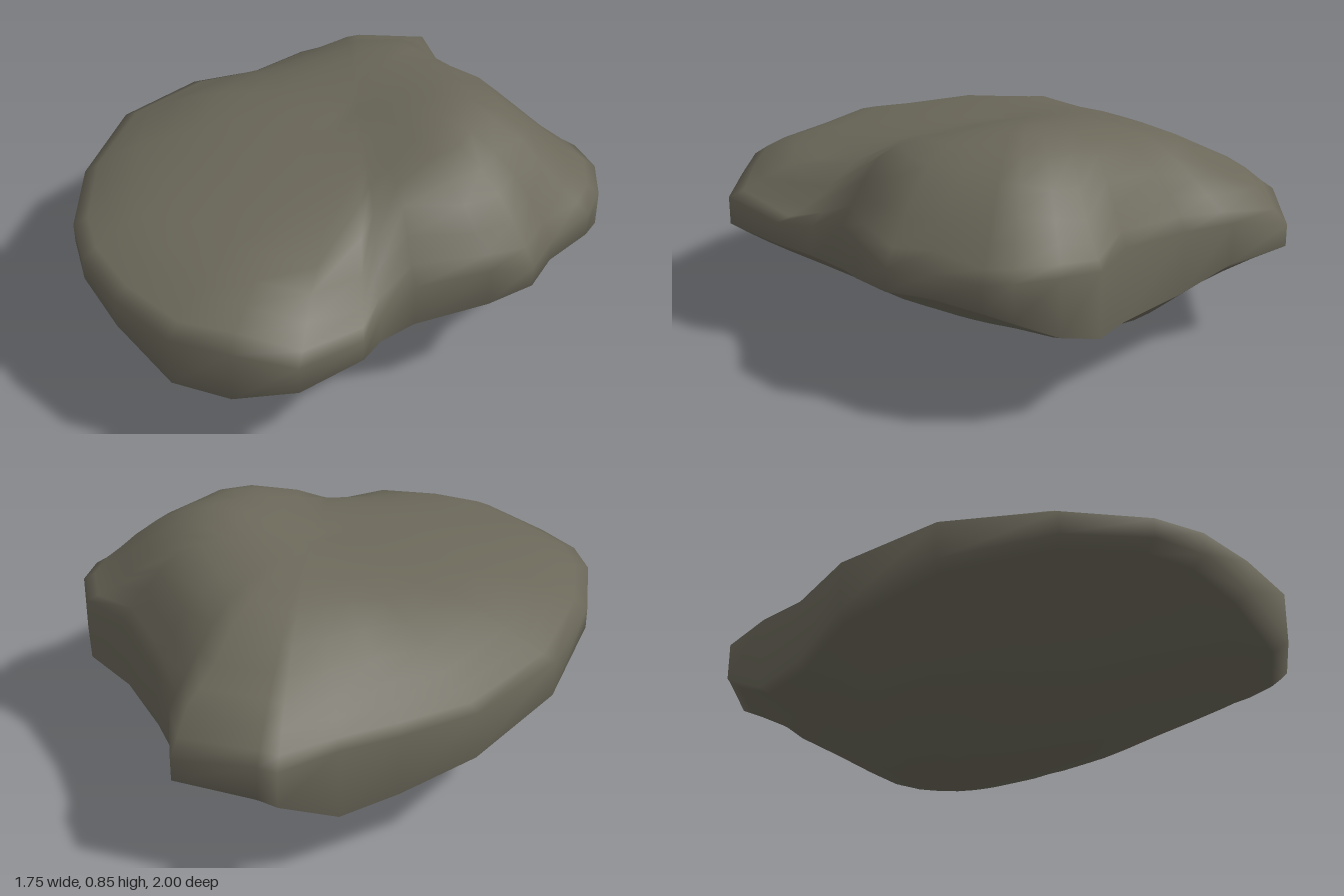
import * as THREE from 'three';

// Plan outline, clockwise from the back: x, z, lower rim height, upper rim height
const RIM = [
  [-0.02, -1.0, 0.36, 0.44], [0.11, -0.82, 0.33, 0.48], [0.27, -0.67, 0.28, 0.5],
  [0.52, -0.5, 0.27, 0.53], [0.72, -0.45, 0.3, 0.53], [0.82, -0.34, 0.34, 0.54],
  [0.87, -0.2, 0.4, 0.53], [0.86, -0.1, 0.42, 0.51], [0.78, 0.08, 0.42, 0.5],
  [0.76, 0.23, 0.42, 0.5], [0.65, 0.36, 0.41, 0.55], [0.43, 0.47, 0.34, 0.5],
  [0.36, 0.6, 0.35, 0.46], [0.35, 0.73, 0.38, 0.46], [0.22, 0.95, 0.39, 0.49],
  [0, 0.98, 0.31, 0.5], [-0.2, 1.0, 0.33, 0.51], [-0.44, 0.9, 0.41, 0.52],
  [-0.62, 0.78, 0.46, 0.54], [-0.73, 0.64, 0.48, 0.55], [-0.84, 0.36, 0.47, 0.55],
  [-0.88, -0.02, 0.41, 0.54], [-0.77, -0.37, 0.33, 0.5], [-0.6, -0.57, 0.25, 0.47],
  [-0.48, -0.75, 0.23, 0.48], [-0.36, -0.92, 0.33, 0.46], [-0.3, -0.94, 0.35, 0.47],
];

// Humps and hollows of the upper face: x, z, height
const TOP = [
  [0, 0, 0.77], [0.37, -0.13, 0.855], [0.22, -0.15, 0.835], [0.57, -0.15, 0.79], [0.7, -0.22, 0.68],
  [0.7, 0.14, 0.64], [0.54, 0.2, 0.76], [0.38, 0.34, 0.75], [0.2, 0.2, 0.76], [0.4, -0.38, 0.78],
  [0.25, 0.52, 0.64], [0.18, 0.76, 0.61], [-0.1, 0.91, 0.6], [-0.1, 0.55, 0.68],
  [-0.5, 0.68, 0.62], [-0.76, 0.25, 0.63], [-0.45, 0.2, 0.7], [-0.58, -0.1, 0.69],
  [-0.3, -0.35, 0.72], [-0.53, -0.45, 0.56], [-0.28, -0.8, 0.58],
  [0, -0.6, 0.74], [0, -0.88, 0.59], [0.22, -0.55, 0.69],
];

// Keel and flanks of the underside: x, z, height
const UNDER = [
  [0, -0.07, 0.005], [0, -0.38, 0.015], [-0.13, -0.2, 0.01], [0.1, -0.2, 0.02],
  [-0.24, -0.2, 0.05], [-0.53, -0.2, 0.125], [-0.4, -0.5, 0.15], [-0.25, -0.66, 0.12],
  [0.25, -0.5, 0.14], [0.4, -0.1, 0.16], [0.62, -0.33, 0.24], [0.3, 0.35, 0.2],
  [0, 0.33, 0.075], [0, 0.66, 0.17], [-0.02, 0.9, 0.24], [-0.5, 0.3, 0.24], [-0.3, 0.65, 0.25],
];

// Taut height field through a set of points: a distance-weighted sum, solved by elimination
function heightField(points) {
  const n = points.length;
  const rows = points.map(([x, z, y]) => [...points.map(([u, v]) => Math.hypot(x - u, z - v)), y]);
  for (let i = 0; i < n; i++) {
    let best = i;
    for (let r = i + 1; r < n; r++) if (Math.abs(rows[r][i]) > Math.abs(rows[best][i])) best = r;
    [rows[i], rows[best]] = [rows[best], rows[i]];
    for (let r = 0; r < n; r++) {
      if (r === i) continue;
      const f = rows[r][i] / rows[i][i];
      for (let c = i; c <= n; c++) rows[r][c] -= f * rows[i][c];
    }
  }
  const weights = rows.map((row, i) => row[n] / row[i]);
  return (x, z) => points.reduce((sum, [u, v], i) => sum + weights[i] * Math.hypot(x - u, z - v), 0);
}

function rockGeometry() {
  const under = heightField([...UNDER, ...RIM.map(([x, z, low]) => [x, z, low])]);
  const over = heightField([...TOP, ...RIM.map(([x, z, , high]) => [x, z, high])]);
  const centre = [0, -0.1];
  const scales = [0.1, 0.2, 0.32, 0.45, 0.58, 0.7, 0.8, 0.88, 0.95, 1];
  const n = RIM.length, points = [], faces = [];

  // Rings from the keel out to the rim, then back in to the crown
  const addRing = (s, height) => {
    for (const [rx, rz] of RIM) {
      const x = centre[0] + (rx - centre[0]) * s, z = centre[1] + (rz - centre[1]) * s;
      points.push(x, height(x, z), z);
    }
  };
  for (const s of scales) addRing(s, under);
  for (const s of [...scales].reverse()) addRing(s, over);

  // Skin between the rings
  const rings = scales.length * 2;
  for (let i = 0; i < rings - 1; i++) {
    for (let j = 0; j < n; j++) {
      const a = i * n + j, b = i * n + (j + 1) % n, c = a + n, d = b + n;
      faces.push(a, c, b, b, c, d);
    }
  }

  // Close the underside and the crown
  const low = rings * n, high = low + 1, last = (rings - 1) * n;
  points.push(centre[0], under(...centre), centre[1], centre[0], over(...centre), centre[1]);
  for (let j = 0; j < n; j++) {
    const k = (j + 1) % n;
    faces.push(low, j, k, high, last + k, last + j);
  }

  const geometry = new THREE.BufferGeometry();
  geometry.setAttribute('position', new THREE.Float32BufferAttribute(points, 3));
  geometry.setIndex(faces);
  geometry.computeVertexNormals();
  return geometry;
}

export function createModel() {
  const stone = new THREE.MeshStandardMaterial({ color: 0x6b685a });
  stone.name = 'stone';
  const rock = new THREE.Mesh(rockGeometry(), stone);
  rock.name = 'rock';
  const model = new THREE.Group();
  model.name = 'boulder';
  model.add(rock);
  return model;
}
